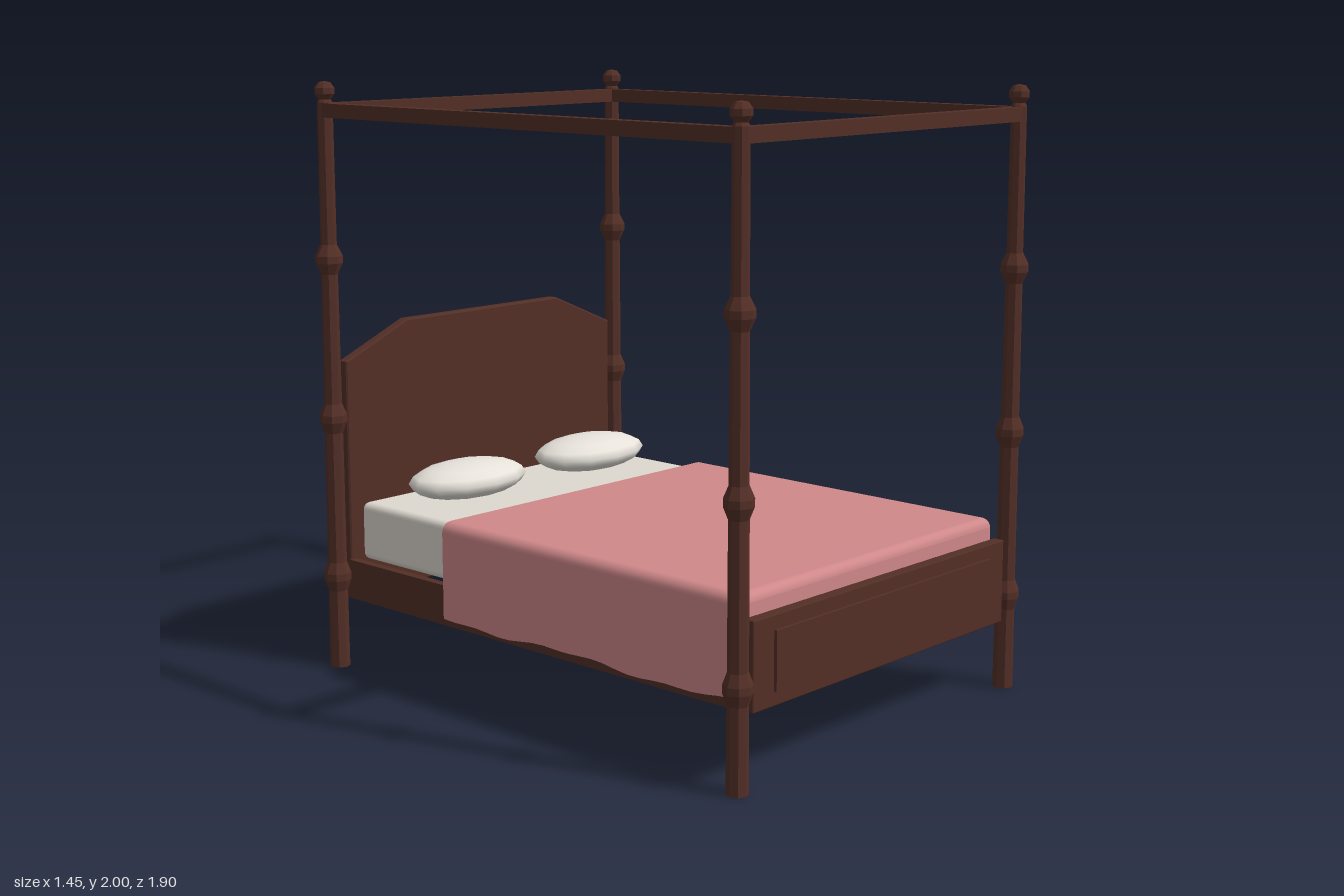
import * as THREE from 'three';
import { mergeGeometries } from 'three/addons/utils/BufferGeometryUtils.js';
import { RoundedBoxGeometry } from 'three/addons/geometries/RoundedBoxGeometry.js';

const mat = (name, color, extra = {}) => {
  const m = new THREE.MeshStandardMaterial({ color, ...extra });
  m.name = name;
  return m;
};

export function createModel() {
  const bed = new THREE.Group();
  bed.name = 'fourPosterBed';
  const wood = mat('darkWood', 0x532f26);
  const turned = mat('turnedWood', 0x532f26, { flatShading: true });
  const linen = mat('mattressLinen', 0xded9d0);
  const pillowCloth = mat('pillowCloth', 0xe6e2da);
  const pink = mat('pinkBlanket', 0xcf888a, { side: THREE.DoubleSide });

  const add = (name, geo, material, x = 0, y = 0, z = 0) => {
    const m = new THREE.Mesh(geo, material);
    m.name = name;
    m.position.set(x, y, z);
    bed.add(m);
    return m;
  };
  const PX = 0.68, PZ = 0.905;

  // Turned posts: tapering shaft, three knobs and a finial
  const profile = [[0, 0], [0.034, 0]];
  for (const [y, r] of [[0.32, 0.033], [0.87, 0.031], [1.41, 0.028]]) {
    profile.push([r, y - 0.05], [0.046, y - 0.012], [0.046, y + 0.012], [r - 0.001, y + 0.05]);
  }
  profile.push([0.026, 1.93], [0.02, 1.94], [0.033, 1.958], [0.033, 1.978], [0.02, 1.996], [0, 2]);
  const postGeo = new THREE.LatheGeometry(profile.map(p => new THREE.Vector2(...p)), 8);
  for (const x of [-PX, PX]) for (const z of [-PZ, PZ]) add('post', postGeo, turned, x, 0, z);

  // Canopy frame and side rails
  for (const s of [-1, 1]) {
    add('canopySideRail', new THREE.BoxGeometry(0.044, 0.046, 2 * PZ), wood, s * PX, 1.905, 0);
    add('canopyEndRail', new THREE.BoxGeometry(2 * PX, 0.046, 0.044), wood, 0, 1.905, s * PZ);
    add('sideRail', new THREE.BoxGeometry(0.03, 0.135, 1.78), wood, s * 0.625, 0.3025, 0);
  }

  // Headboard with clipped top corners
  const outline = new THREE.Shape([
    [-0.63, 0.24], [0.63, 0.24], [0.63, 1.055], [0.36, 1.17], [-0.36, 1.17], [-0.63, 1.055],
  ].map(p => new THREE.Vector2(...p)));
  add('headboard', new THREE.ExtrudeGeometry(outline, {
    depth: 0.03, bevelThickness: 0.005, bevelSize: 0.005, bevelSegments: 1,
  }), wood, 0, 0, -PZ - 0.015);

  // Footboard with raised panel
  add('footboard', new RoundedBoxGeometry(1.27, 0.28, 0.04, 1, 0.005), wood, 0, 0.375, PZ);
  add('footboardPanel', new THREE.BoxGeometry(1.085, 0.187, 0.012), wood, 0, 0.375, 0.93);

  add('mattress', new RoundedBoxGeometry(1.19, 0.2, 1.735, 3, 0.025), linen, 0, 0.467, -0.0105);

  // Pillows
  for (const s of [-1, 1]) {
    const p = add('pillow', new THREE.SphereGeometry(1, 12, 8), pillowCloth, s * 0.298, 0.637, -0.657);
    p.scale.set(0.237, 0.064, 0.149);
  }

  add('blanket', blanketGeometry(), pink);
  return bed;
}

// Draped sheet: U-shaped sections along the bed, rounded over into a drop at the foot
function blanketGeometry() {
  const W = 0.643, TOP = 0.582, BACK = -0.405, FRONT = 0.878, R = 0.03, ARC = 5;
  const hem = t => 0.257 + 0.007 * Math.sin(t * 9) + 0.004 * Math.sin(t * 23 + 1);
  const rings = [];
  for (let i = 0; i <= 24; i++) rings.push([BACK + (FRONT - R - BACK) * i / 24, 0]);
  for (let i = 1; i <= ARC; i++) {
    const a = i / ARC * Math.PI / 2;
    rings.push([FRONT - R + R * Math.sin(a), R * (1 - Math.cos(a))]);
  }
  const pos = [], index = [];
  for (const [z, inset] of rings) {
    const w = W - inset, top = TOP - inset, r = R + 0.005 - inset;
    const half = [[w, hem(z)]];
    for (let i = 0; i <= ARC; i++) {
      const a = i / ARC * Math.PI / 2;
      half.push([w - r + r * Math.cos(a), top - r + r * Math.sin(a)]);
    }
    for (const [x, y] of half) pos.push(-x, y, z);
    for (const [x, y] of half.reverse()) pos.push(x, y, z);
  }
  const n = 2 * (ARC + 2);
  for (let k = 0; k < rings.length - 1; k++) {
    for (let i = 0; i < n - 1; i++) {
      const a = k * n + i, b = a + n;
      index.push(a, b, a + 1, a + 1, b, b + 1);
    }
  }
  const drape = new THREE.BufferGeometry();
  drape.setAttribute('position', new THREE.Float32BufferAttribute(pos, 3));
  drape.setIndex(index);
  drape.computeVertexNormals();

  // Drop at the foot with a wavy hem
  const drop = new THREE.PlaneGeometry(2 * (W - R), 1, 32, 1);
  const p = drop.attributes.position;
  for (let i = 0; i < p.count; i++) {
    p.setXYZ(i, p.getX(i), p.getY(i) > 0 ? TOP - R : hem(p.getX(i) + 0.4), FRONT);
  }
  drop.deleteAttribute('uv');
  return mergeGeometries([drape, drop]);
}
